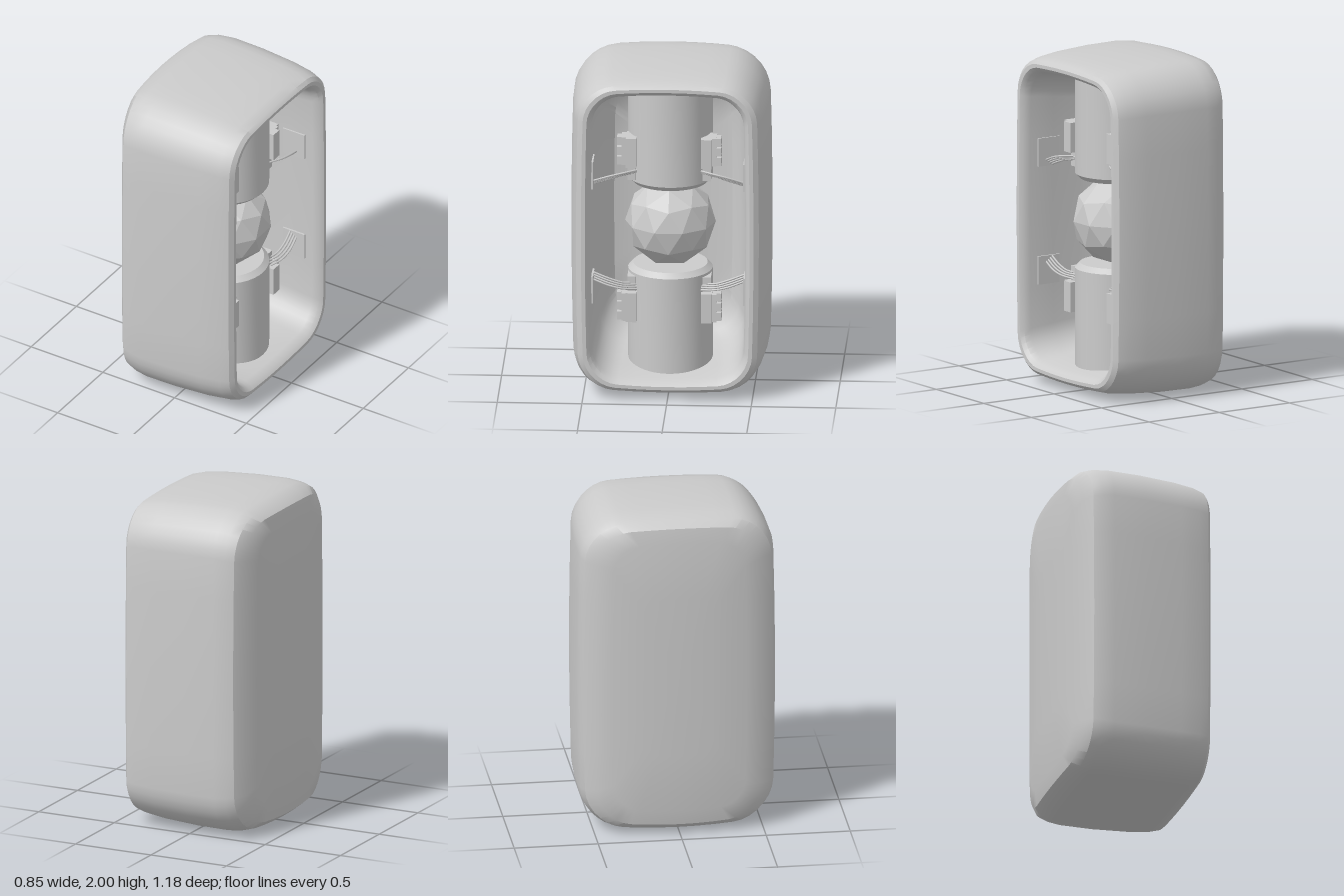
import * as THREE from 'three';
import { toCreasedNormals } from 'three/addons/utils/BufferGeometryUtils.js';

const grey = new THREE.MeshStandardMaterial({ color: 0xcccccc });
const facetedGrey = new THREE.MeshStandardMaterial({ color: 0xcccccc, flatShading: true });
const MID = 1;      // mid height
const CORE_X = 0.05; // axis of the cylinders and the ball

function add(parent, name, geometry, x = 0, y = 0, z = 0, material = grey) {
  const mesh = new THREE.Mesh(geometry, material);
  mesh.name = name;
  mesh.position.set(x, y, z);
  parent.add(mesh);
  return mesh;
}

// Rounded rectangle in z (half a) and y (half b), sides bowed gently outwards
function outline(a, b, r) {
  const pts = [];
  const corners = [[1, 1], [-1, 1], [-1, -1], [1, -1]];
  const arc = 7, edge = 6;
  corners.forEach(([sz, sy], q) => {
    for (let i = 0; i <= arc; i++) {
      const t = (q + i / arc) * Math.PI / 2;
      pts.push([sz * (a - r) + r * Math.cos(t), sy * (b - r) + r * Math.sin(t)]);
    }
    const last = pts[pts.length - 1];
    const [nz, ny] = corners[(q + 1) % 4];
    const t = (q + 1) * Math.PI / 2;
    const next = [nz * (a - r) + r * Math.cos(t), ny * (b - r) + r * Math.sin(t)];
    for (let i = 1; i < edge; i++) {
      const f = i / edge;
      pts.push([last[0] + (next[0] - last[0]) * f, last[1] + (next[1] - last[1]) * f]);
    }
  });
  return pts.map(([z, y]) => [
    z * (1 - 0.03 * (y / (b || 1)) ** 2),
    y * (1 - 0.03 * (z / (a || 1)) ** 2),
  ]);
}

// Open-sided shell: from inner back wall, over the rim, to outer back wall
function shellGeometry() {
  // x, half depth, half height, corner radius, backward curve
  const rings = [
    [-0.32, 0, 0, 0, 0],
    [-0.31, 0.25, 0.6, 0.12, 0],
    [-0.28, 0.35, 0.72, 0.15, 0],
    [-0.22, 0.4, 0.78, 0.16, 0],
    [-0.12, 0.435, 0.815, 0.16, 0],
    [0.02, 0.45, 0.842, 0.16, 0],
    [0.2, 0.456, 0.86, 0.16, 0],
    [0.36, 0.458, 0.88, 0.16, 0],
    [0.4, 0.468, 0.895, 0.17, 0],
    [0.42, 0.487, 0.915, 0.18, 0],
    [0.42, 0.51, 0.935, 0.19, 0],
    [0.4, 0.54, 0.955, 0.21, 0],
    [0.34, 0.56, 0.97, 0.22, 0],
    [0.22, 0.575, 0.985, 0.23, 0],
    [0, 0.588, 0.998, 0.24, 0],
    [-0.2, 0.59, 1, 0.24, 0],
    [-0.29, 0.583, 0.993, 0.24, 0.06],
    [-0.36, 0.565, 0.975, 0.23, 0.12],
    [-0.405, 0.5, 0.94, 0.2, 0.15],
    [-0.42, 0.4, 0.85, 0.15, 0.13],
    [-0.425, 0.2, 0.5, 0.07, 0.14],
    [-0.425, 0, 0, 0, 0],
  ];
  const pos = [], index = [];
  let n = 0;
  rings.forEach(([x, a, b, r, k]) => {
    const pts = outline(a, b, r);
    n = pts.length;
    pts.forEach(([z, y]) => pos.push(x + k * z * z, MID + y, z));
  });
  for (let i = 0; i < rings.length - 1; i++) {
    for (let j = 0; j < n; j++) {
      const p = i * n + j, q = i * n + (j + 1) % n;
      if (i > 0) index.push(p, q, p + n);
      if (i === 0) index.push(p, q + n, p + n);
      else if (i < rings.length - 2) index.push(q, q + n, p + n);
    }
  }
  const g = new THREE.BufferGeometry();
  g.setAttribute('position', new THREE.Float32BufferAttribute(pos, 3));
  g.setIndex(index);
  return toCreasedNormals(g, 0.55);
}

// Cylinder with a chamfered end facing the ball and the other end in the shell
function coreCylinder(sy) {
  const profile = [[0, 0.255], [0.22, 0.255], [0.25, 0.285], [0.25, 0.9], [0, 0.9]]
    .map(([r, y]) => new THREE.Vector2(r, sy * y));
  if (sy < 0) profile.reverse();
  return toCreasedNormals(new THREE.LatheGeometry(profile, 40), 0.5);
}

// Connector block, clips, cables and wall plate for one side of one cylinder
function connector(sy, sz) {
  const g = new THREE.Group();
  g.name = 'connector';
  const box = (name, x, y, z, w, h, d) =>
    add(g, name, new THREE.BoxGeometry(w, h, d), x, MID + sy * y, sz * z);
  box('connectorBlock', 0.18, 0.48, 0.222, 0.15, 0.18, 0.064);
  box('connectorFoot', 0.15, 0.345, 0.222, 0.12, 0.09, 0.05);
  box('connectorStrip', 0.18, 0.485, 0.267, 0.1, 0.17, 0.028);
  for (let i = 0; i < 3; i++) box('clip', 0.18, 0.542 - i * 0.06, 0.294, 0.07, 0.05, 0.028);
  box('wallPlate', 0.235, 0.355, 0.449, 0.15, 0.17, 0.012);
  for (let i = 0; i < 4; i++) {
    const x = 0.19 + i * 0.014;
    const path = [
      [x, 0.34 + i * 0.01, 0.19],
      [x + 0.03, 0.335 + i * 0.008, 0.27],
      [x + 0.035, 0.31 + i * 0.01, 0.35],
      [x + 0.02, 0.275 + i * 0.01, 0.45],
    ].map(([px, py, pz]) => new THREE.Vector3(px, MID + sy * py, sz * pz));
    add(g, 'cable', new THREE.TubeGeometry(new THREE.CatmullRomCurve3(path), 14, 0.006, 6));
  }
  return g;
}

export function createModel() {
  const model = new THREE.Group();
  model.name = 'openCapsule';
  add(model, 'shell', shellGeometry());

  // Faceted ball held between the cylinders, one vertex pointing up
  const ball = new THREE.IcosahedronGeometry(0.268, 1);
  ball.rotateZ(-Math.atan(2 / (1 + Math.sqrt(5))));
  add(model, 'ball', ball, CORE_X, MID, 0, facetedGrey);

  for (const sy of [1, -1]) {
    add(model, sy > 0 ? 'upperCylinder' : 'lowerCylinder', coreCylinder(sy), CORE_X, MID, 0);
    for (const sz of [1, -1]) model.add(connector(sy, sz));
  }
  return model;
}
